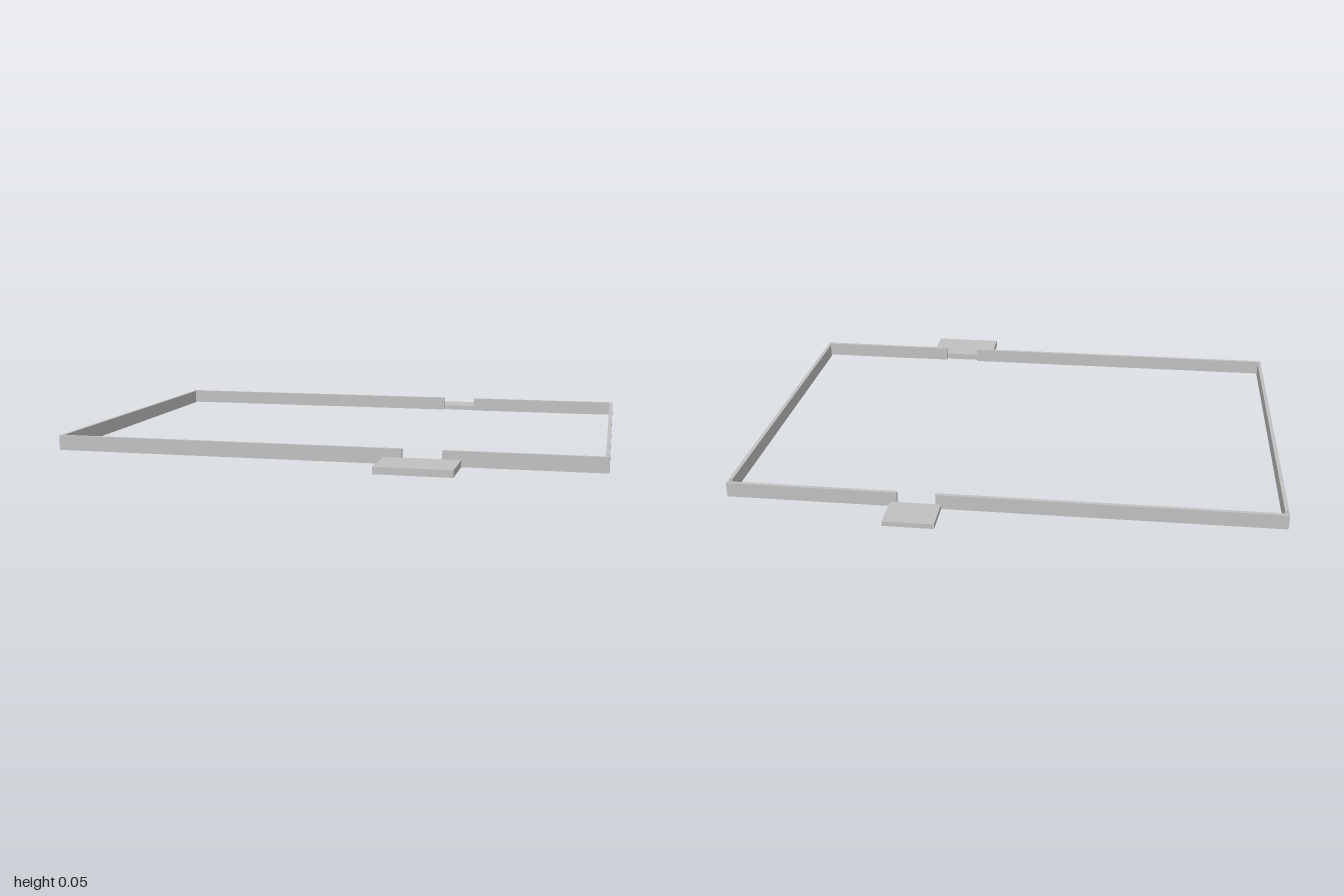
import * as THREE from 'three';

export function createModel() {
  const model = new THREE.Group();
  model.name = 'foundationOutline';
  const concrete = new THREE.MeshStandardMaterial({ color: 0xc0c0c0 });
  concrete.name = 'concreteGrey';

  // Box standing on the ground, given by its x and z extents and height
  function slab(name, x0, x1, z0, z1, height) {
    const mesh = new THREE.Mesh(new THREE.BoxGeometry(x1 - x0, height, z1 - z0), concrete);
    mesh.position.set((x0 + x1) / 2, height / 2, (z0 + z1) / 2);
    mesh.name = name;
    model.add(mesh);
  }

  const wallHeight = 0.055;
  const thickness = 0.014;

  // Front and back walls, each split by a doorway with a step outside it
  const sides = [
    { name: 'front', z: 0.653, door: [0.295, 0.437], step: [0.23, 0.503, 0.667, 0.853], rise: 0.025 },
    { name: 'back', z: -0.715, door: [0.233, 0.373], step: [0.213, 0.397, -0.853, -0.715], rise: 0.018 },
  ];
  for (const { name, z, door, step, rise } of sides) {
    slab(name + 'WallRight', -1, door[0], z, z + thickness, wallHeight);
    slab(name + 'WallLeft', door[1], 1, z, z + thickness, wallHeight);
    slab(name + 'Step', ...step, rise);
  }

  // Side walls, stopping short of the corners
  slab('rightWall', -1, -1 + thickness, -0.685, 0.636, wallHeight);
  slab('leftWall', 1 - thickness, 1, -0.685, 0.636, wallHeight);

  return model;
}
